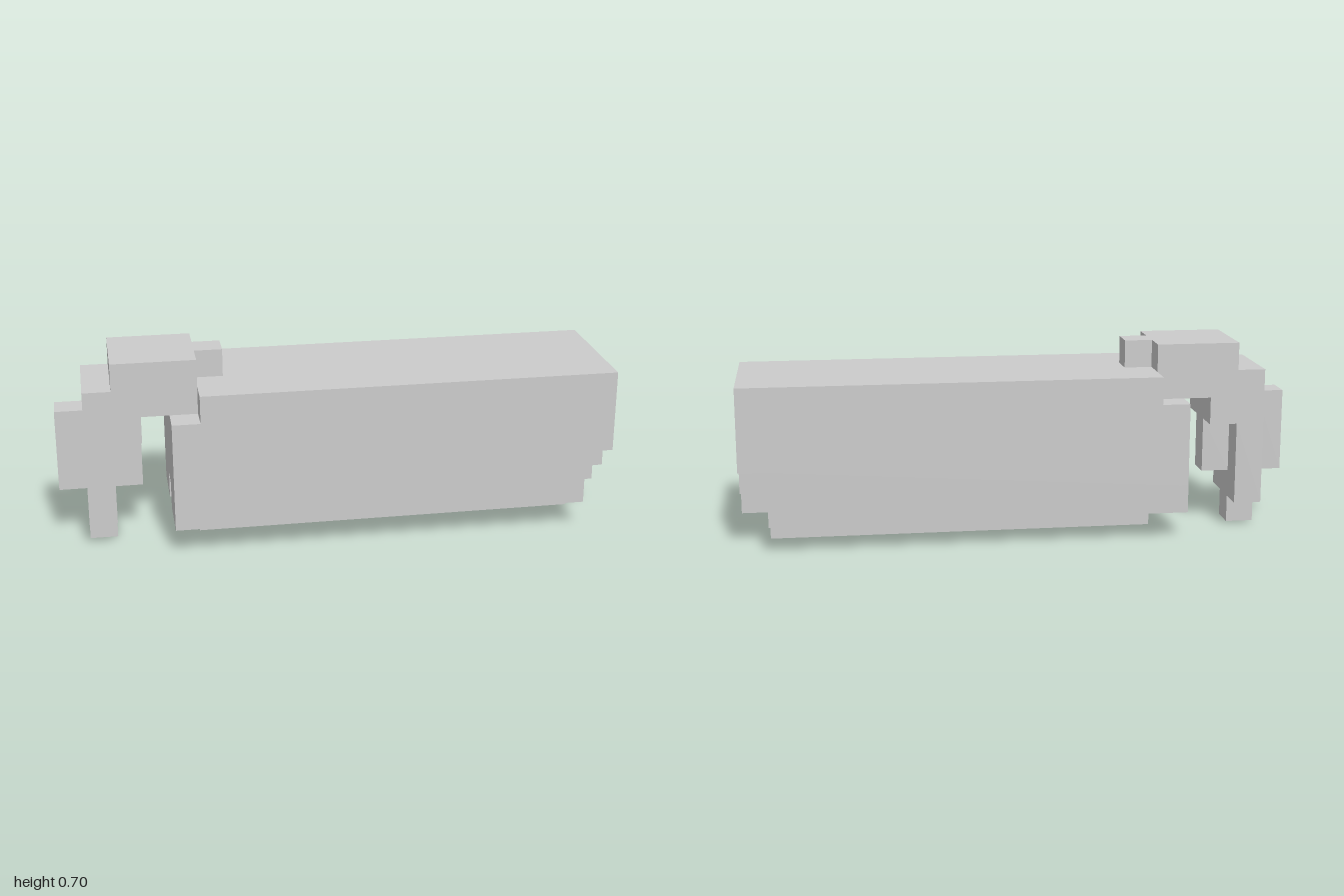
import * as THREE from 'three';

const material = new THREE.MeshStandardMaterial({ color: 0xcccccc, flatShading: true });

// Stepped side profile (x, y pairs) extruded between two z planes
function slab(name, points, z0, z1) {
  const shape = new THREE.Shape(points.map(([x, y]) => new THREE.Vector2(x, y)));
  const geometry = new THREE.ExtrudeGeometry(shape, { depth: z1 - z0, bevelEnabled: false });
  geometry.translate(0, 0, z0);
  const mesh = new THREE.Mesh(geometry, material);
  mesh.name = name;
  return mesh;
}

const rect = (x0, x1, y0, y1) => [[x0, y0], [x1, y0], [x1, y1], [x0, y1]];

export function createModel() {
  const model = new THREE.Group();
  model.name = 'blockModel';

  // Long body with a lowered front rim and an undercut rear end
  const body = new THREE.Group();
  body.name = 'body';
  body.add(slab('bodyBlock', [
    [-0.6, 0.2], [0.9, 0.2], [0.9, 0.3], [1, 0.3],
    [1, 0.6], [-0.5, 0.6], [-0.5, 0.5], [-0.6, 0.5],
  ], -0.25, 0.25));

  // Lower flanks, leaving a notch between them at the front
  for (const [name, z0, z1] of [['leftFlank', 0.05, 0.25], ['rightFlank', -0.25, -0.05]]) {
    body.add(slab(name, rect(-0.6, 0.9, 0.1, 0.2), z0, z1));
  }

  // Stepped rear and the keel running underneath
  body.add(slab('rearStep', rect(0.9, 1, 0.2, 0.3), -0.15, 0.15));
  body.add(slab('keel', [
    [-0.5, 0], [0.9, 0], [0.9, 0.1], [1, 0.1], [1, 0.2], [-0.5, 0.2],
  ], -0.05, 0.05));
  model.add(body);

  // Head arching over the front of the body
  const head = new THREE.Group();
  head.name = 'head';
  head.add(slab('neckAndFace', [
    [-0.9, 0.1], [-0.8, 0.1], [-0.8, 0.4], [-0.7, 0.4], [-0.7, 0.5],
    [-0.5, 0.5], [-0.5, 0.7], [-0.8, 0.7], [-0.8, 0.6], [-0.9, 0.6],
  ], -0.15, 0.15));

  // Narrow centre-line details of the head
  head.add(slab('faceRidge', rect(-1, -0.9, 0.2, 0.5), -0.05, 0.05));
  head.add(slab('innerRidge', rect(-0.8, -0.7, 0.2, 0.4), -0.05, 0.05));
  head.add(slab('chinTip', rect(-0.9, -0.8, 0, 0.1), -0.05, 0.05));
  head.add(slab('napeTab', rect(-0.5, -0.4, 0.6, 0.7), -0.05, 0.05));
  model.add(head);

  return model;
}
